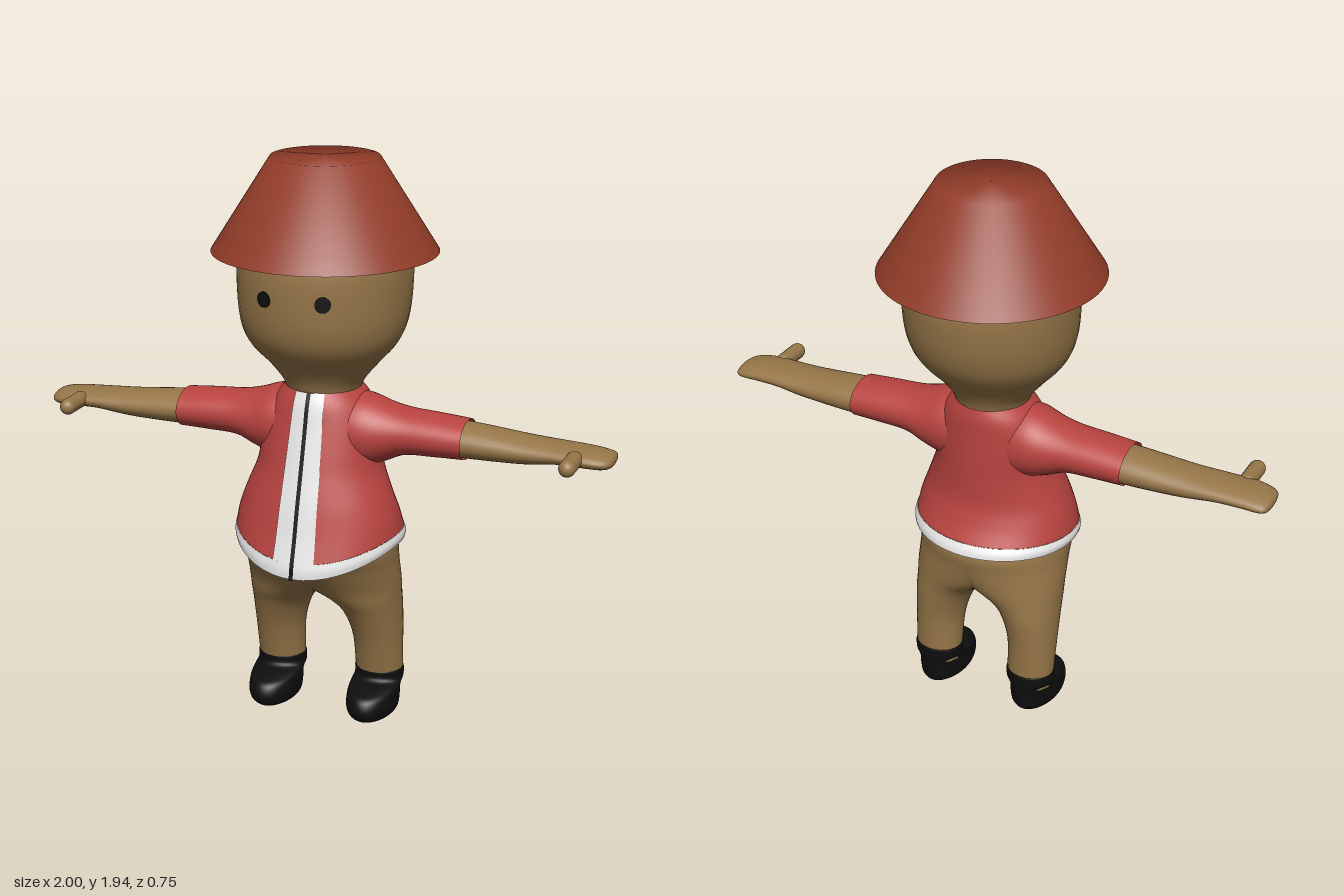
import * as THREE from 'three';

const mat = (name, color, side = THREE.FrontSide) => {
  const m = new THREE.MeshStandardMaterial({ color, side });
  m.name = name;
  return m;
};

// Smooth interpolation through a list of cross-sections, t in 0..1
function sample(sections, t) {
  const f = t * (sections.length - 1);
  const i = Math.min(Math.floor(f), sections.length - 2);
  const u = f - i;
  const at = k => sections[Math.max(0, Math.min(sections.length - 1, k))];
  return sections[i].map((b, k) => {
    const a = at(i - 1)[k], c = at(i + 1)[k], d = at(i + 2)[k];
    return b + 0.5 * u * (c - a + u * (2 * a - 5 * b + 4 * c - d + u * (3 * (b - c) + d - a)));
  });
}

// Section = [height, centre x, radius x, centre z, radius z, front sag], top to bottom
const upright = ([y, cx, rx, cz, rz, sag = 0], a) => {
  const s = Math.sin(a);
  return [cx + rx * Math.cos(a), y - sag * Math.max(0, s) ** 2, cz + rz * s];
};
// Section = [x, centre y, radius y, centre z, radius z], from the body outwards
const sideways = ([x, cy, ry, cz, rz], a) => [x, cy + ry * Math.cos(a), cz + rz * Math.sin(a)];

function loft(sections, place, steps = 6, n = 48) {
  const rows = (sections.length - 1) * steps;
  const pos = [], idx = [];
  for (let i = 0; i <= rows; i++) {
    const s = sample(sections, i / rows);
    for (let j = 0; j < n; j++) pos.push(...place(s, (j / n) * Math.PI * 2));
  }
  for (let i = 0; i < rows; i++) {
    for (let j = 0; j < n; j++) {
      const a = i * n + j, b = i * n + (j + 1) % n;
      idx.push(a, b, a + n, b, b + n, a + n);
    }
  }
  return build(pos, idx);
}

function build(pos, idx) {
  const g = new THREE.BufferGeometry();
  g.setAttribute('position', new THREE.Float32BufferAttribute(pos, 3));
  g.setIndex(idx);
  g.computeVertexNormals();
  return g;
}

// Copy across x = 0 with the face order turned round
function mirror(geo) {
  const g = geo.clone();
  g.scale(-1, 1, 1);
  const ix = g.index.array;
  for (let i = 0; i < ix.length; i += 3) [ix[i], ix[i + 1]] = [ix[i + 1], ix[i]];
  g.computeVertexNormals();
  return g;
}

// Thin strip lying just off the front of a lofted body
function frontStrip(sections, halfWidth, lift, rows = 48, cols = 8) {
  const pos = [], idx = [];
  for (let i = 0; i <= rows; i++) {
    const s = sample(sections, i / rows);
    for (let j = 0; j <= cols; j++) {
      const x = halfWidth(i / rows) * (2 * j / cols - 1);
      const p = upright(s, Math.acos(x / s[2]));
      pos.push(p[0], p[1], p[2] + lift);
      if (i < rows && j < cols) {
        const a = i * (cols + 1) + j, c = a + cols + 1;
        idx.push(a, c, a + 1, a + 1, c, c + 1);
      }
    }
  }
  return build(pos, idx);
}

export function createModel() {
  const model = new THREE.Group();
  const skin = mat('tan skin', 0x967648);
  const red = mat('red cloth', 0xb8433f, THREE.DoubleSide);
  const white = mat('white trim', 0xe6e6e6, THREE.DoubleSide);
  const black = mat('black', 0x0e0e0e, THREE.DoubleSide);
  const brick = mat('brick hat', 0x923c28, THREE.DoubleSide);

  const add = (name, geo, material) => {
    const m = new THREE.Mesh(geo, material);
    m.name = name;
    model.add(m);
    return m;
  };
  const addPair = (name, geo, material) => {
    add('left' + name, geo, material);
    add('right' + name, mirror(geo), material);
  };

  // Hat: open truncated cone
  const brim = [[0.001, 1.943], [0.18, 1.943], [0.375, 1.635]].map(p => new THREE.Vector2(...p));
  add('hat', new THREE.LatheGeometry(brim.reverse(), 64), brick);

  // Head and neck
  add('head', loft([
    [1.84, 0, 0.002, 0, 0.002],
    [1.82, 0, 0.14, 0, 0.14],
    [1.74, 0, 0.25, 0, 0.255],
    [1.63, 0, 0.286, -0.003, 0.3],
    [1.5, 0, 0.288, 0, 0.3],
    [1.4, 0, 0.275, 0.007, 0.28],
    [1.33, 0, 0.243, 0.012, 0.24],
    [1.26, 0, 0.182, 0.01, 0.172],
    [1.19, 0, 0.13, 0.01, 0.132],
    [1.1, 0, 0.115, 0.01, 0.115],
  ], upright), skin);

  // Eyes: thin discs turned to follow the face
  for (const side of [1, -1]) {
    const eye = add(side > 0 ? 'leftEye' : 'rightEye', new THREE.CylinderGeometry(0.026, 0.026, 0.008, 24).rotateX(Math.PI / 2), black);
    eye.position.set(side * 0.1, 1.525, 0.282);
    eye.rotation.y = side * 0.37;
  }

  // Jacket body, dipping at the front hem
  const jacket = [
    [1.185, 0, 0.125, 0.008, 0.133, 0],
    [1.14, 0, 0.165, 0.012, 0.148, 0],
    [1.07, 0, 0.195, 0.02, 0.158, 0],
    [0.99, 0, 0.208, 0.03, 0.17, 0],
    [0.92, 0, 0.217, 0.04, 0.181, 0.005],
    [0.83, 0, 0.252, 0.053, 0.199, 0.02],
    [0.76, 0, 0.277, 0.053, 0.223, 0.045],
    [0.705, 0, 0.288, 0.049, 0.25, 0.066],
  ];
  add('jacket', loft(jacket, upright), red);
  add('jacketHem', loft([
    [0.705, 0, 0.289, 0.049, 0.251, 0.066],
    [0.685, 0, 0.294, 0.046, 0.261, 0.073],
    [0.667, 0, 0.29, 0.044, 0.265, 0.08],
  ], upright), white);
  add('jacketFrontTrim', frontStrip(jacket, t => 0.05 + 0.023 * t, 0.005), white);
  add('zip', frontStrip([...jacket, [0.667, 0, 0.29, 0.044, 0.265, 0.08]], () => 0.007, 0.009, 48, 2), black);

  // Sleeves, flaring into the shoulders
  addPair('Sleeve', loft([
    [0.08, 1.04, 0.13, 0.015, 0.125],
    [0.16, 1.042, 0.123, 0.014, 0.125],
    [0.23, 1.042, 0.1, 0.012, 0.112],
    [0.3, 1.049, 0.078, 0.011, 0.101],
    [0.4, 1.048, 0.072, 0.011, 0.097],
    [0.505, 1.045, 0.066, 0.011, 0.095],
  ], sideways), red);

  // Arms with mitten hands
  addPair('Arm', loft([
    [0.3, 1.045, 0.058, 0.01, 0.085],
    [0.5, 1.043, 0.058, 0.01, 0.088],
    [0.7, 1.038, 0.046, 0.015, 0.083],
    [0.82, 1.042, 0.034, 0.019, 0.081],
    [0.91, 1.04, 0.031, 0.023, 0.081],
    [0.965, 1.036, 0.027, 0.02, 0.075],
    [0.992, 1.035, 0.018, 0.015, 0.057],
    [1.0, 1.035, 0.001, 0.015, 0.002],
  ], sideways, 6, 32), skin);
  addPair('Thumb', new THREE.CapsuleGeometry(0.028, 0.09, 8, 16)
    .rotateX(Math.PI / 2).translate(0.88, 1.045, 0.13), skin);

  // Legs: each widens past the middle so the pair joins at the hips
  addPair('Leg', loft([
    [0.7, 0, 0.26, 0.045, 0.22],
    [0.64, 0.002, 0.266, 0.043, 0.238],
    [0.58, 0.02, 0.248, 0.025, 0.21],
    [0.5, 0.08, 0.19, 0, 0.168],
    [0.44, 0.138, 0.131, -0.012, 0.14],
    [0.38, 0.166, 0.103, -0.026, 0.118],
    [0.28, 0.181, 0.087, -0.04, 0.092],
    [0.15, 0.182, 0.083, -0.054, 0.072],
    [0.1, 0.182, 0.078, -0.056, 0.066],
  ], upright), skin);

  // Boots with rounded toes
  addPair('Boot', loft([
    [0.155, 0.182, 0.08, -0.055, 0.068],
    [0.154, 0.182, 0.086, -0.055, 0.074],
    [0.122, 0.182, 0.086, -0.053, 0.077],
    [0.108, 0.182, 0.086, -0.023, 0.106],
    [0.09, 0.182, 0.086, 0.001, 0.13],
    [0.05, 0.182, 0.086, 0.01, 0.137],
    [0.018, 0.182, 0.078, 0.006, 0.126],
    [0.002, 0.182, 0.05, 0.002, 0.095],
    [0, 0.182, 0.002, 0.002, 0.002],
  ], upright), black);

  return model;
}
